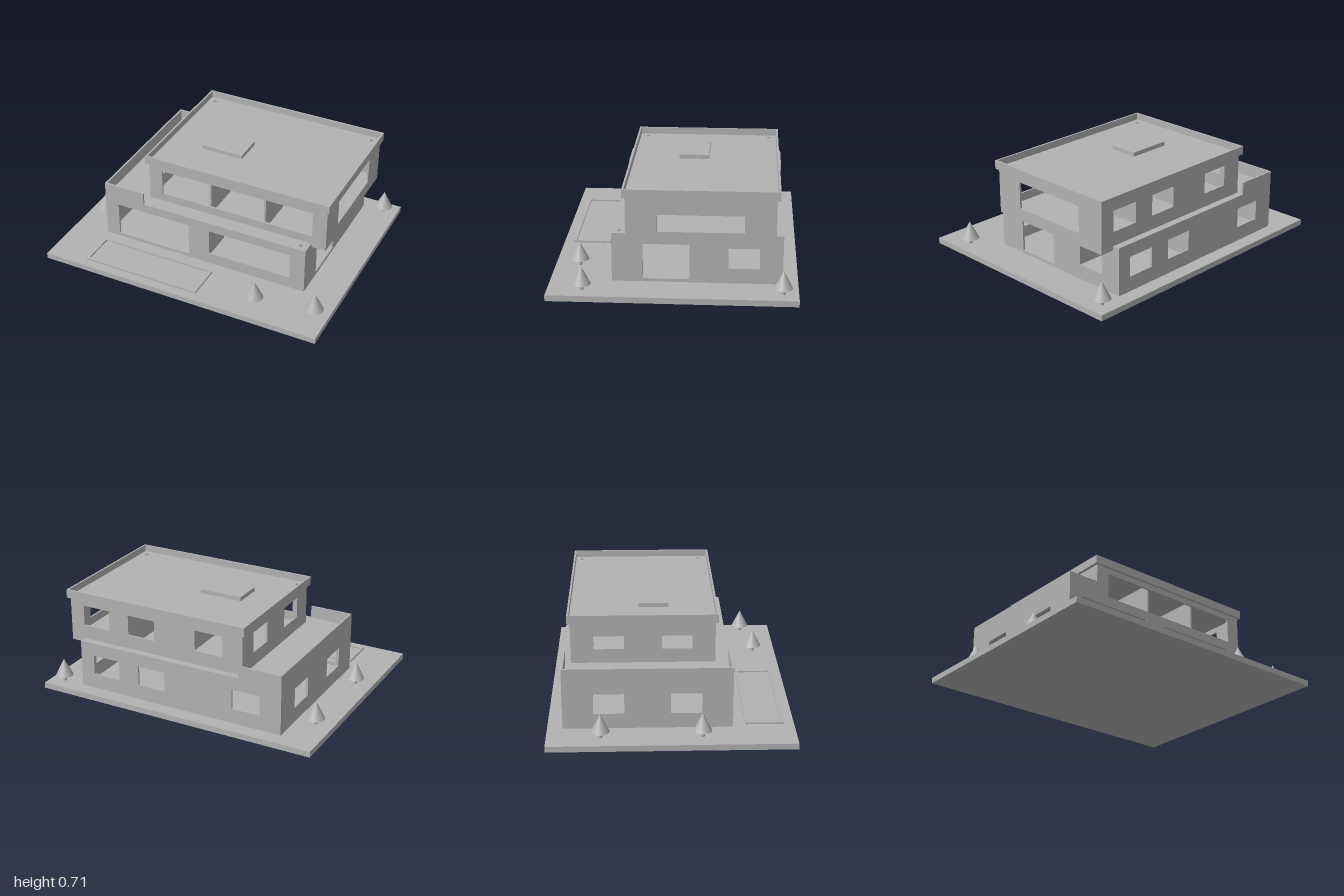
import * as THREE from 'three';

const T = 0.013; // wall thickness

export function createModel() {
  const model = new THREE.Group();
  const grey = new THREE.MeshStandardMaterial({ color: 0xb2b2b2 });
  grey.name = 'plain grey';

  const add = (name, geometry, parent = model) => {
    const mesh = new THREE.Mesh(geometry, grey);
    mesh.name = name;
    parent.add(mesh);
    return mesh;
  };
  const group = (name) => {
    const g = new THREE.Group();
    g.name = name;
    model.add(g);
    return g;
  };
  const box = (name, x0, x1, y0, y1, z0, z1, parent) => {
    const mesh = add(name, new THREE.BoxGeometry(x1 - x0, y1 - y0, z1 - z0), parent);
    mesh.position.set((x0 + x1) / 2, (y0 + y1) / 2, (z0 + z1) / 2);
    return mesh;
  };

  // Outlines and openings
  const rect = (u0, u1, v0, v1) => [[u0, v0], [u1, v0], [u1, v1], [u0, v1]];
  const toPoints = (list) => list.map(([u, v]) => new THREE.Vector2(u, v));
  const panel = (outline, holes, depth) => {
    const shape = new THREE.Shape(toPoints(outline));
    holes.forEach((h) => shape.holes.push(new THREE.Path(toPoints(h))));
    return new THREE.ExtrudeGeometry(shape, { depth, bevelEnabled: false });
  };
  // Wall running along x, from z to z + T
  const wallX = (name, outline, holes, z, parent) => {
    add(name, panel(outline, holes, T), parent).position.z = z;
  };
  // Wall running along z, from x to x + T
  const wallZ = (name, outline, holes, x, parent) => {
    const mesh = add(name, panel(outline, holes, T), parent);
    mesh.rotation.y = -Math.PI / 2;
    mesh.position.x = x + T;
  };
  // Horizontal plate with its outline in x and z
  const plate = (name, outline, holes, y0, y1, parent) => {
    const mesh = add(name, panel(outline, holes, y1 - y0), parent);
    mesh.rotation.x = Math.PI / 2;
    mesh.position.y = y1;
  };
  const drain = (x, z) => Array.from({ length: 16 }, (_, i) => {
    const a = (i / 16) * Math.PI * 2;
    return [x + 0.014 * Math.cos(a), z + 0.014 * Math.sin(a)];
  });

  // Site
  box('groundPlate', -1, 1, 0, 0.04, -0.8, 0.8);

  // Ground floor, with a raised terrace parapet at the -x end
  const lower = group('groundFloor');
  const stepped = [[-0.75, 0.04], [0.75, 0.04], [0.75, 0.37], [-0.45, 0.37], [-0.45, 0.455], [-0.75, 0.455]];
  wallX('frontWall', stepped, [rect(-0.65, -0.105, 0.065, 0.305), rect(0.05, 0.645, 0.12, 0.305)], 0.4 - T, lower);
  wallX('backWall', stepped,
    [-0.6, 0.1, 0.45].map((x) => rect(x, x + 0.2, 0.142, 0.28)), -0.7, lower);
  wallZ('terraceSideWall', rect(-0.7 + T, 0.4 - T, 0.04, 0.455),
    [-0.5, 0].map((z) => rect(z, z + 0.2, 0.142, 0.28)), -0.75, lower);
  wallZ('overhangSideWall', rect(-0.7 + T, 0.4 - T, 0.04, 0.37),
    [rect(-0.1, 0.2, 0.062, 0.3), rect(-0.55, -0.35, 0.142, 0.28)], 0.75 - T, lower);
  plate('terraceDeck', rect(-0.75 + T, 0.75 - T, -0.7 + T, 0.4 - T),
    [drain(-0.71, 0.35), drain(-0.71, -0.66), drain(0.7, 0.35)], 0.34, 0.37, lower);

  // Ground floor partitions with door openings cut down to the floor
  const doorway = (u0, u1, d0, d1) =>
    [[u0, 0.04], [d0, 0.04], [d0, 0.265], [d1, 0.265], [d1, 0.04], [u1, 0.04], [u1, 0.34], [u0, 0.34]];
  wallZ('longPartition', doorway(-0.7 + T, 0.4 - T, 0.008, 0.1), [], 0, lower);
  wallX('crossPartition', doorway(T, 0.75 - T, 0.295, 0.39), [], -0.2, lower);

  // Upper floor, overhanging on the +x side
  const upper = group('upperFloor');
  wallX('frontWall', rect(-0.45, 0.85, 0.342, 0.65), [rect(-0.353, 0.75, 0.428, 0.61)], 0.3 - T, upper);
  wallX('backWall', rect(-0.45, 0.85, 0.342, 0.65),
    [-0.305, 0.2, 0.548].map((x) => rect(x, x + 0.2, 0.465, 0.607)), -0.65, upper);
  wallZ('terraceSideWall', rect(-0.65 + T, 0.3 - T, 0.342, 0.65),
    [-0.5, -0.05].map((z) => rect(z, z + 0.2, 0.465, 0.607)), -0.45, upper);
  wallZ('overhangSideWall', rect(-0.65 + T, 0.3 - T, 0.342, 0.65), [rect(-0.45, 0.1, 0.426, 0.61)], 0.85 - T, upper);
  box('overhangFloor', 0.75, 0.85 - T, 0.342, 0.37, -0.65 + T, 0.3 - T, upper);
  for (const x of [0, 0.4]) {
    wallZ('partition', rect(-0.65 + T, 0.3 - T, 0.37, 0.65), [], x, upper);
  }

  // Flat roof with rim, drains and skylight
  const roof = group('roof');
  const inner = rect(-0.47 + T, 0.867 - T, -0.67 + T, 0.318 - T);
  plate('roofRim', rect(-0.47, 0.867, -0.67, 0.318), [inner], 0.65, 0.708, roof);
  const drains = [[-0.405, -0.61], [0.803, -0.61], [0.803, 0.25], [-0.405, 0.25]];
  plate('roofDeck', inner, drains.map(([x, z]) => drain(x, z)), 0.65, 0.662, roof);
  box('skylight', -0.2, 0.1, 0.662, 0.69, -0.2, 0, roof);

  // Pool
  const pool = group('pool');
  plate('poolEdge', rect(-0.72, 0.118, 0.482, 0.738), [rect(-0.703, 0.098, 0.498, 0.718)], 0.04, 0.052, pool);
  box('poolWater', -0.703, 0.098, 0.04, 0.042, 0.498, 0.718, pool);

  // Trees
  const crown = new THREE.ConeGeometry(0.06, 0.12, 24);
  const trunk = new THREE.CylinderGeometry(0.012, 0.012, 0.045, 16);
  for (const [x, z] of [[-0.88, -0.453], [-0.88, 0.198], [0.9, -0.7], [0.9, 0.577], [0.5, 0.638]]) {
    const tree = group('tree');
    tree.position.set(x, 0.04, z);
    add('trunk', trunk, tree).position.y = 0.0225;
    add('crown', crown, tree).position.y = 0.102;
  }

  return model;
}
